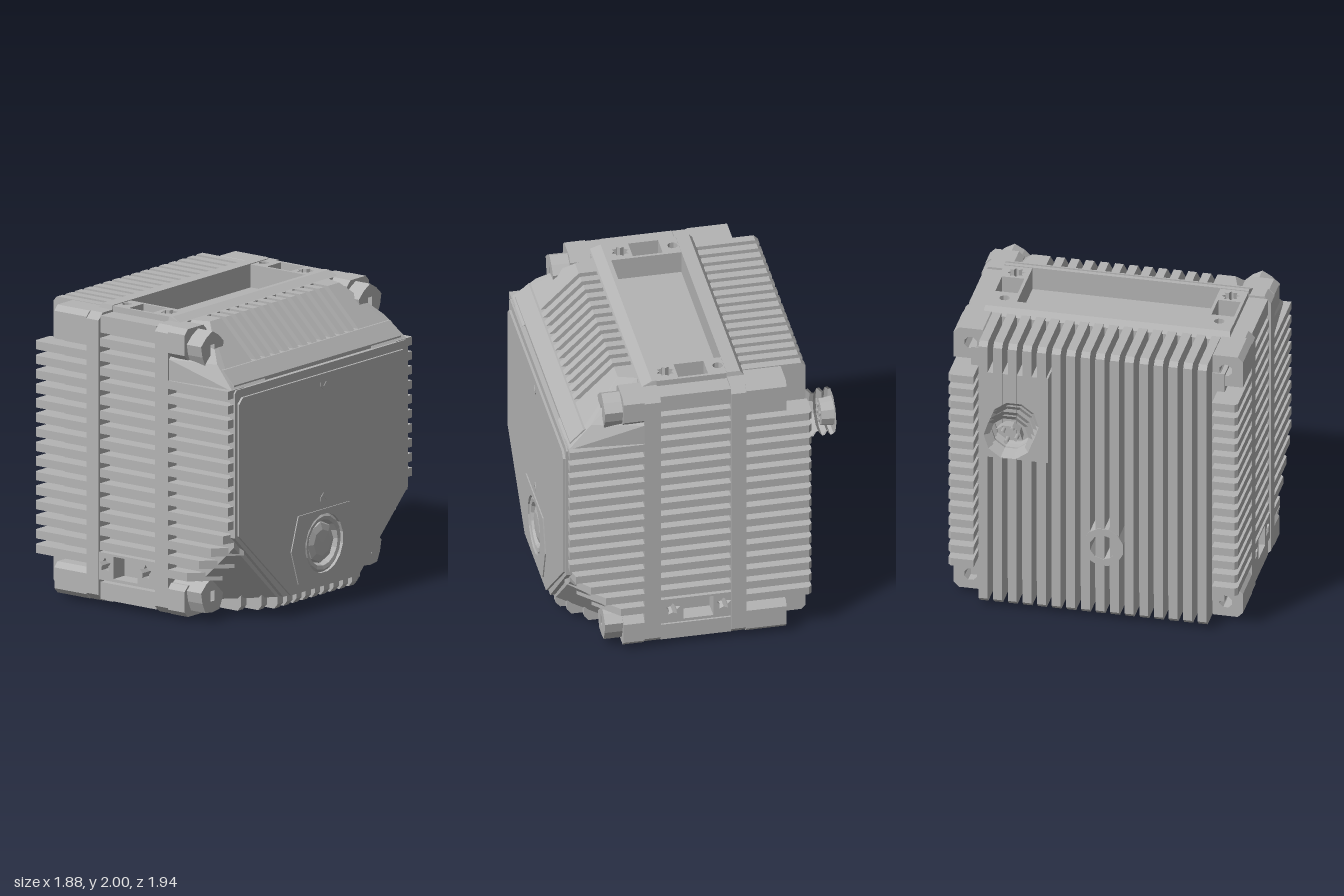
import * as THREE from 'three';
import { ConvexGeometry } from 'three/addons/geometries/ConvexGeometry.js';

const PITCH = 0.098;

export function createModel() {
  const model = new THREE.Group();
  const grey = new THREE.MeshStandardMaterial({ color: 0xb4b4b4 });

  const add = (name, geo, parent = model) => {
    const mesh = new THREE.Mesh(geo, grey);
    mesh.name = name;
    parent.add(mesh);
    return mesh;
  };
  const box = (name, x0, x1, y0, y1, z0, z1, parent) =>
    add(name, new THREE.BoxGeometry(x1 - x0, y1 - y0, Math.abs(z1 - z0))
      .translate((x0 + x1) / 2, (y0 + y1) / 2, (z0 + z1) / 2), parent);
  const hull = (name, pts, parent) =>
    add(name, new ConvexGeometry(pts.map(p => new THREE.Vector3(...p))), parent);
  const both = pts => pts.flatMap(([x, y, z]) => [[x, y, z], [x, y, -z]]);

  // outlines and extrusions along each axis
  const extrude = (pts, holes, depth) => {
    const shape = new THREE.Shape(pts.map(p => new THREE.Vector2(...p)));
    shape.holes = holes.map(h => new THREE.Path(h.map(p => new THREE.Vector2(...p))));
    return new THREE.ExtrudeGeometry(shape, { depth, bevelEnabled: false });
  };
  const prismZ = (name, pts, z0, z1, holes = []) =>
    add(name, extrude(pts, holes, z1 - z0).translate(0, 0, z0));
  const prismX = (name, pts, x0, x1, holes = []) => { // points are (-z, y)
    return add(name, extrude(pts, holes, x1 - x0).rotateY(Math.PI / 2).translate(x0, 0, 0));
  };
  const prismY = (name, pts, y0, y1, holes = [], parent = model) => // points are (x, -z)
    add(name, extrude(pts, holes, y1 - y0).rotateX(-Math.PI / 2).translate(0, y0, 0), parent);
  const rect = (a0, a1, b0, b1, c = 0) => c
    ? [[a0 + c, b0], [a1 - c, b0], [a1, b0 + c], [a1, b1 - c], [a1 - c, b1], [a0 + c, b1], [a0, b1 - c], [a0, b0 + c]]
    : [[a0, b0], [a1, b0], [a1, b1], [a0, b1]];
  const ring = (cx, cy, r, n, r2 = r) => Array.from({ length: n }, (_, i) => {
    const a = (i + 0.5) / n * Math.PI * 2, q = i % 2 ? r2 : r;
    return [cx + q * Math.cos(a), cy + q * Math.sin(a)];
  });
  const latheX = (name, profile, n, x, y, z) => {
    const g = new THREE.LatheGeometry(profile.map(p => new THREE.Vector2(...p)), n)
      .toNonIndexed();
    g.computeVertexNormals();
    return add(name, g.rotateZ(-Math.PI / 2).translate(x, y, z));
  };
  // right-hand limit of the housing: slanted top and bevelled lower corners
  const xMax = (y, z) => Math.min(0.9, 1.168 + 1.025 * y - 0.953 * Math.abs(z), 0.91 - (y - 1.6) * 1.05);

  // inner housing
  box('housingCore', -0.56, 0.4, 0.14, 1.84, -0.85, 0.85);
  hull('housingNose', both([
    [0.3, 0.12, 0.88], [0.3, 1.72, 0.88], [0.79, 1.72, 0.88], [0.88, 1.63, 0.88],
    [0.88, 0.537, 0.88], [0.88, 0.12, 0.431], [0.4525, 0.12, 0.88]]));

  // two bands wrapping the housing
  const loop = rect(-0.97, 0.97, 0.03, 1.97, 0.045);
  prismX('rearBand', loop, -0.28, -0.18);
  prismX('frontBand', loop, 0.29, 0.4);

  // raised frame, pocket ends and screw sockets on the top, repeated underneath
  for (const under of [false, true]) {
    const cap = new THREE.Group();
    cap.name = under ? 'bottomPocket' : 'topPocket';
    if (under) { cap.rotation.x = Math.PI; cap.position.y = 2; }
    model.add(cap);
    hull('rearRim', both([[-0.31, 1.95, 0.83], [-0.27, 2, 0.82], [-0.18, 2, 0.82], [-0.18, 1.95, 0.83]]), cap);
    hull('frontRim', both([[0.29, 1.95, 0.83], [0.29, 2, 0.82], [0.32, 2, 0.82], [0.4, 1.965, 0.83]]), cap);
    for (const s of [-1, 1]) {
      const zs = [s * 0.63, s * 0.82].sort((a, b) => a - b);
      prismY('pocketEnd', rect(-0.18, 0.29, ...zs), 1.84, 1.995, [
        rect(-0.06, 0.14, s * 0.725 - 0.075, s * 0.725 + 0.075),
        ring(-0.14, s * 0.72, 0.035, 8), ring(0.21, s * 0.72, 0.06, 16, 0.04)], cap);
      add('pocketScrew', new THREE.CylinderGeometry(0.03, 0.03, 0.1, 6).translate(0.21, 1.9, s * 0.72), cap);
      box('endLedge', -0.18, 0.29, 1.84, 1.955, s * 0.82, s * 0.95, cap);
    }
  }

  // corner mounts with screw holes, at both ends
  for (const s of [-1, 1]) for (const t of [-1, 1]) {
    const u = s * 0.855, v = 1 + t * 0.865;
    const block = rect(u - 0.115, u + 0.115, v - 0.105, v + 0.105, 0.035);
    prismX('rearMount', block, -0.55, -0.28, [ring(u, v, 0.045, 8)]);
    prismX('frontMount', block, 0.4, 0.54);
    const bu = s * 0.83, bv = 1 + t * 0.83;
    prismX('mountBoss', ring(bu, bv, 0.125, 10, 0.11), 0.4, 0.66, [rect(bu - 0.02, bu + 0.02, bv - 0.035, bv + 0.035)]);
  }

  // horizontal cooling fins on front and back
  for (const s of [-1, 1]) {
    const a = s * 0.8, b = s * 0.97;
    for (let k = -1; k <= 14; k++) {
      const y = 0.405 + k * PITCH, y0 = y - 0.028, y1 = y + 0.028;
      if (k < 14) prismY('rearSideFin', [[-0.72, -a], [-0.28, -a], [-0.28, -b], [-0.7, -b], [-0.72, -b + s * 0.02]], y0, y1);
      else box('rearSideFin', -0.55, -0.28, y0, y1, a, b);
      if (k >= 0) box('middleFin', -0.18, 0.29, y0, y1, a, s * 0.955);
      if (k <= 12) prismY('frontSideFin', [[0.4, -a], [xMax(y, a), -a], [xMax(y, b), -b], [0.4, -b]], y0, y1);
    }
    // socket block below the middle fins
    const z = s > 0 ? [0.84, 0.965] : [-0.965, -0.84];
    prismZ('socketBlock', rect(-0.18, 0.29, 0.18, 0.365), ...z, [
      rect(-0.06, 0.14, 0.2, 0.35), ring(-0.13, 0.285, 0.05, 10, 0.028), ring(0.21, 0.285, 0.05, 10, 0.028)]);
    // solid shoulder beside the sloped fins
    hull('shoulder', [
      [0.4, 1.6, s * 0.56], [0.9, 1.6, s * 0.56], [0.52, 1.97, s * 0.56], [0.4, 1.97, s * 0.56],
      [0.9, 1.6, s * 0.92], [0.4, 1.6, s * 0.96], [0.4, 1.75, s * 0.96], [0.74, 1.75, s * 0.88],
      [0.4, 1.97, s * 0.72], [0.52, 1.97, s * 0.68]]);
  }

  // fins across the slope and the underside
  for (let k = -5; k <= 5; k++) {
    const z = k * PITCH, z0 = z - 0.028, z1 = z + 0.028;
    prismZ('slopeFin', [[0.38, 1.7], [0.8, 1.7], [0.52, 1.97], [0.38, 1.97]], z0, z1);
  }
  for (let k = -6; k <= 6; k++) {
    const z = k * PITCH, end = Math.min(0.88, xMax(0.12, z));
    prismZ('undersideFin', [[0.38, 0.035], [end - 0.03, 0.035], [end, 0.07], [end, 0.14], [0.38, 0.14]], z - 0.028, z + 0.028);
  }

  // upright ribs wrapping the connector side
  for (let k = -8; k <= 7; k++) {
    const z = (k + 0.5) * PITCH;
    prismZ('uprightRib', rect(-0.72, -0.27, 0.03, 1.97, 0.03), z - 0.03, z + 0.03);
  }
  box('connectorPlate', -0.715, -0.55, 1.12, 1.75, -0.74, -0.3);

  // ribbed round connector
  latheX('connector', [
    [0, -0.86], [0.09, -0.86], [0.1, -0.945], [0.15, -0.945], [0.165, -0.925], [0.13, -0.9], [0.165, -0.87], [0.13, -0.845],
    [0.135, -0.82], [0.165, -0.795], [0.135, -0.775], [0.165, -0.75], [0.14, -0.73], [0.14, -0.7]].reverse(), 10, 0, 1.4, -0.52)
    .material = grey;
  for (let i = 0; i < 4; i++) {
    const a = i * Math.PI / 2 + 0.4;
    add('connectorPin', new THREE.CylinderGeometry(0.015, 0.015, 0.06, 6).rotateZ(Math.PI / 2)
      .translate(-0.88, 1.4 + 0.05 * Math.cos(a), -0.52 + 0.05 * Math.sin(a)));
  }
  // vent boss in the ribs
  prismX('ventBoss', ring(-0.07, 0.54, 0.14, 12), -0.725, -0.55, [ring(-0.07, 0.54, 0.09, 10)]);

  // nose plate and raised panel with a round opening
  const face = (w, top, side, low, c) => [[-low, 0.12], [low, 0.12], [w, side], [w, top - c], [w - c, top], [c - w, top], [-w, top - c], [-w, side]];
  const opening = ring(0, 0.41, 0.2, 16);
  prismX('nosePlate', face(0.91, 1.605, 0.61, 0.4, 0.02), 0.87, 0.912, [opening]);
  prismX('panel', face(0.885, 1.55, 0.62, 0.34, 0.04), 0.9, 0.928, [opening]);
  prismX('lensBezel', [[-0.27, 0.18], [0.27, 0.18], [0.345, 0.41], [0.27, 0.64], [-0.27, 0.64], [-0.345, 0.41]], 0.92, 0.936, [opening]);
  latheX('lensRing', [[0.2, 0.88], [0.2, 0.915], [0.18, 0.93], [0.155, 0.925], [0.14, 0.885]], 16, 0, 0.41, 0);
  latheX('lens', [[0.145, 0.88], [0.135, 0.905], [0.09, 0.92], [0, 0.922]], 8, 0, 0.41, 0);
  for (const [y, d] of [[1.47, -1], [0.72, 1]]) {
    prismX('panelMark', [[-0.03, y - d * 0.025], [0, y + d * 0.005], [0.03, y - d * 0.025], [0.03, y], [0, y + d * 0.03], [-0.03, y]], 0.926, 0.932);
  }

  return model;
}
